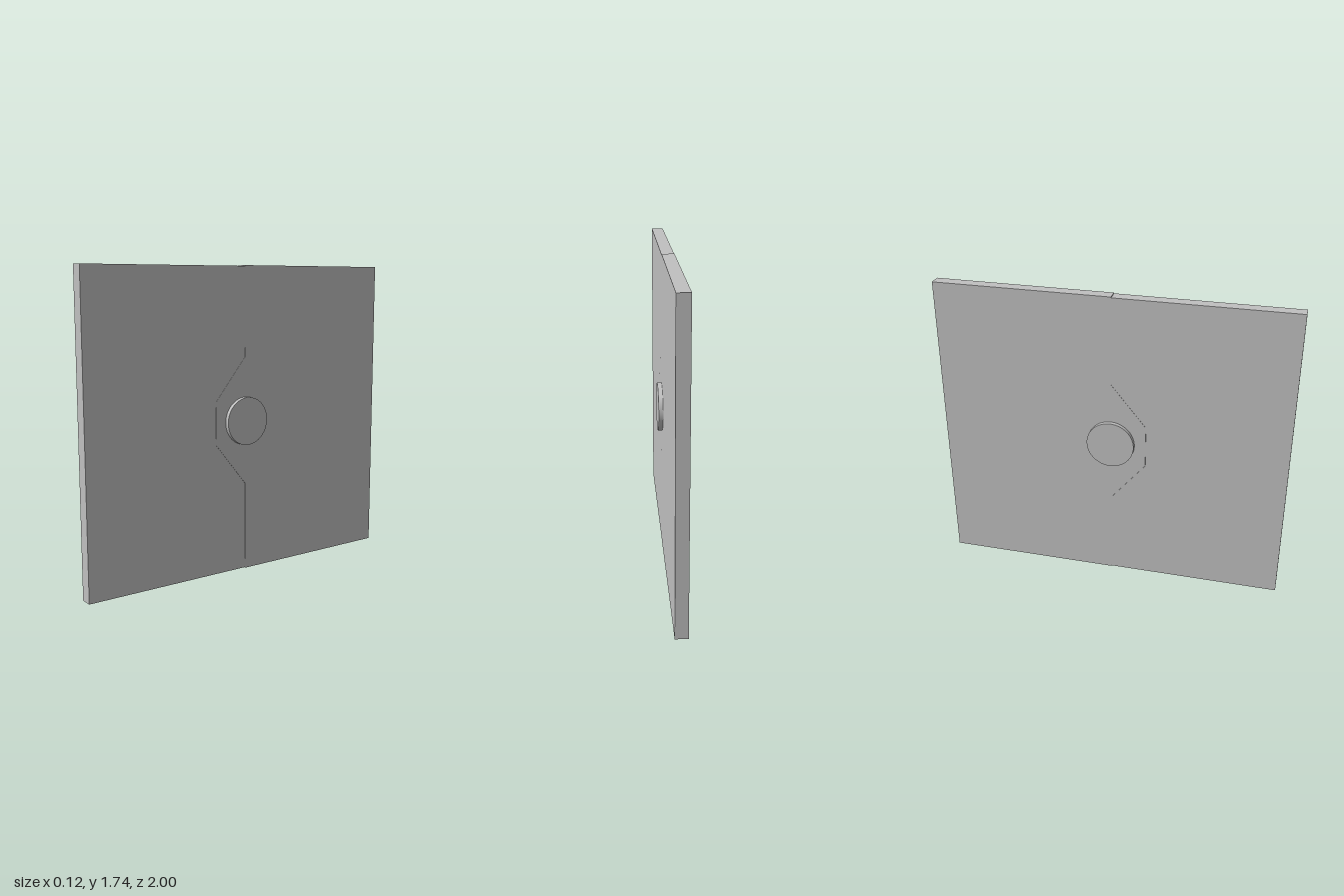
import * as THREE from 'three';

export function createModel() {
  const model = new THREE.Group();
  model.name = 'hingedPanel';
  const grey = new THREE.MeshStandardMaterial({ color: 0xc0c0c0 });
  grey.name = 'plain grey';

  const height = 1.737, mid = height / 2, thickness = 0.07;
  const step = 0.004, gap = 0.001;

  // Side outlines are drawn as (z, y), then turned so the extrusion runs along x
  function addPanel(name, outline) {
    const shape = new THREE.Shape(outline.map(([z, y]) => new THREE.Vector2(z, y)));
    const geometry = new THREE.ExtrudeGeometry(shape, { depth: thickness, bevelEnabled: false });
    geometry.translate(0, 0, -thickness / 2).rotateY(-Math.PI / 2);
    const mesh = new THREE.Mesh(geometry, grey);
    mesh.name = name;
    model.add(mesh);
  }

  // Tapered tab between the halves, from bottom to top
  const tab = (offset) => [
    [offset, mid - 0.365], [0.2 + offset, mid - 0.122],
    [0.2 + offset, mid + 0.122], [offset, mid + 0.365],
  ];

  // Rear half carries the tab, front half has the matching socket
  addPanel('rearPanel', [[-1, 0], [0, 0], ...tab(0), [0, height], [-1, height]]);
  addPanel('frontPanel', [
    [1, step], [1, height - step], [gap, height - step],
    ...tab(gap).reverse(), [gap, step],
  ]);

  // Round pin through both faces
  const pin = new THREE.Mesh(new THREE.CylinderGeometry(0.136, 0.136, 0.12, 64), grey);
  pin.name = 'centrePin';
  pin.rotation.z = Math.PI / 2;
  pin.position.y = mid;
  model.add(pin);

  return model;
}
